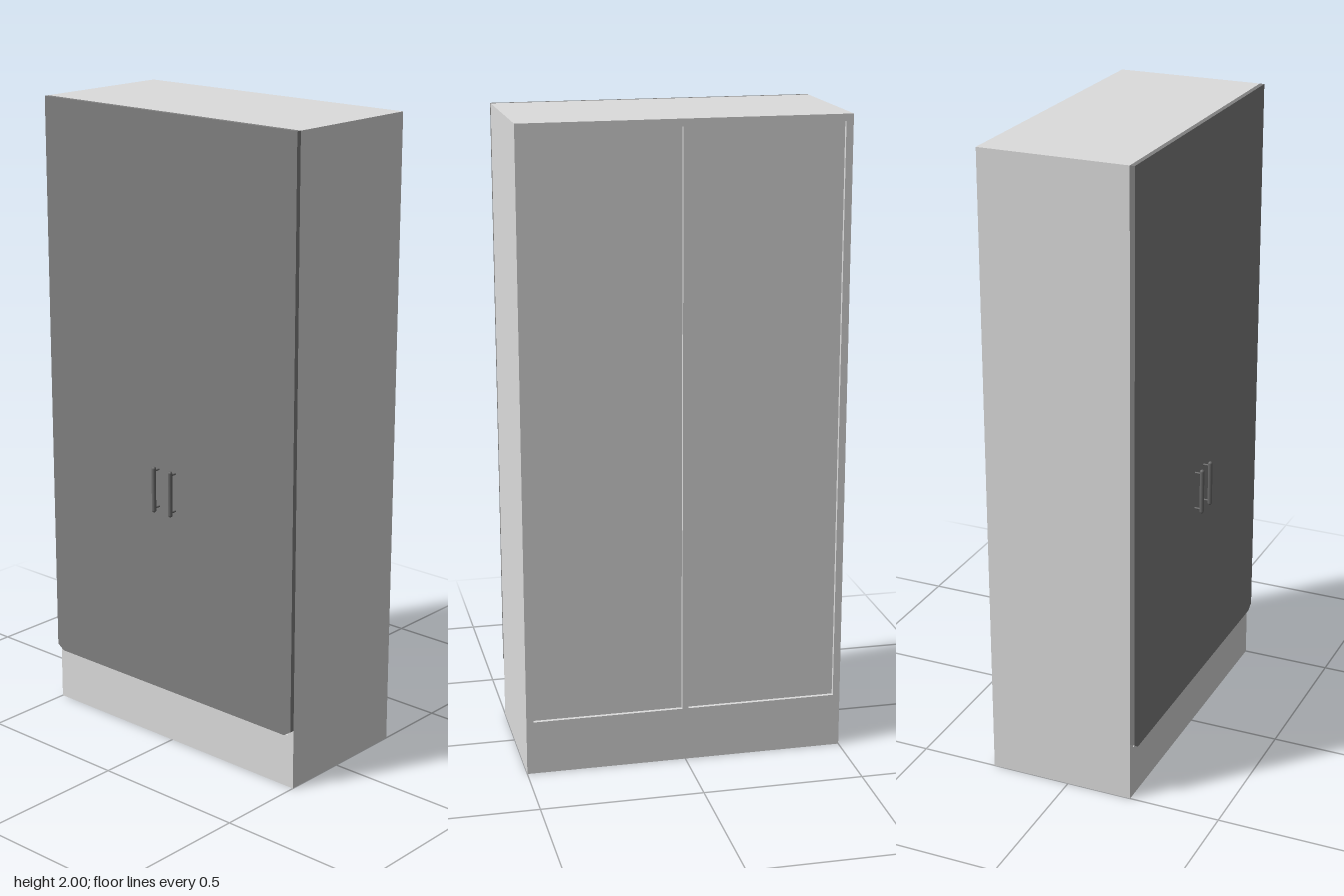
import * as THREE from 'three';

const bodyMat = new THREE.MeshStandardMaterial({ name: 'lightPanel', color: 0xdcdcdc });
const doorMat = new THREE.MeshStandardMaterial({ name: 'darkDoor', color: 0x808080 });
const handleMat = new THREE.MeshStandardMaterial({ name: 'handleMetal', color: 0x686868 });

// Box given by its min and max corners
function slab(parent, name, mat, [x0, y0, z0], [x1, y1, z1]) {
  const mesh = new THREE.Mesh(new THREE.BoxGeometry(x1 - x0, y1 - y0, z1 - z0), mat);
  mesh.position.set((x0 + x1) / 2, (y0 + y1) / 2, (z0 + z1) / 2);
  mesh.name = name;
  parent.add(mesh);
}

export function createModel() {
  const group = new THREE.Group();
  group.name = 'wardrobe';
  const W = 0.5, H = 2, B = -0.255, F = 0.21, T = 0.022;
  const shelfY = 0.15, railY = 0.17, panelZ = B + 0.012;

  // Carcass: top, floor, plinth boards and centre divider; open underneath
  slab(group, 'topBoard', bodyMat, [-W + T, H - T, B], [W - T, H, F]);
  slab(group, 'floorBoard', bodyMat, [-W + T, shelfY, B + T], [W - T, railY, F - T]);
  slab(group, 'frontPlinth', bodyMat, [-W + T, 0, F - T], [W - T, railY, F]);
  slab(group, 'backPlinth', bodyMat, [-W + T, 0, B], [W - T, railY, B + T]);
  slab(group, 'centreDivider', bodyMat, [-0.01, railY, B], [0.01, H - T, F]);

  for (const s of [-1, 1]) {
    const side = s < 0 ? 'right' : 'left';
    const span = (a, b) => (s < 0 ? [-b, -a] : [a, b]);

    // Side board and recessed back panel
    const [a0, a1] = span(W - T, W);
    slab(group, side + 'SideBoard', bodyMat, [a0, 0, B], [a1, H, F]);
    const [p0, p1] = span(0.01, W - T);
    slab(group, side + 'BackPanel', bodyMat, [p0, railY, panelZ], [p1, H - T, panelZ + 0.01]);

    // Door with its outer bottom corner cut off
    const shape = new THREE.Shape([
      [0, 0.175], [s * 0.475, 0.175], [s * W, 0.192], [s * W, H], [0, H],
    ].map(([x, y]) => new THREE.Vector2(x, y)));
    const door = new THREE.Mesh(
      new THREE.ExtrudeGeometry(shape, { depth: 0.015, bevelEnabled: false }), doorMat);
    door.position.z = F;
    door.name = side + 'Door';
    group.add(door);

    // Bar handle on two short posts
    const handle = new THREE.Group();
    handle.name = side + 'Handle';
    handle.position.set(s * 0.034, 0.845, 0.248);
    const bar = new THREE.Mesh(new THREE.CapsuleGeometry(0.007, 0.134, 4, 12), handleMat);
    bar.name = 'handleBar';
    handle.add(bar);
    for (const y of [-0.06, 0.06]) {
      const post = new THREE.Mesh(new THREE.CylinderGeometry(0.003, 0.003, 0.024, 10), handleMat);
      post.rotation.x = Math.PI / 2;
      post.position.set(0, y, -0.012);
      post.name = 'handlePost';
      handle.add(post);
    }
    group.add(handle);
  }
  return group;
}
